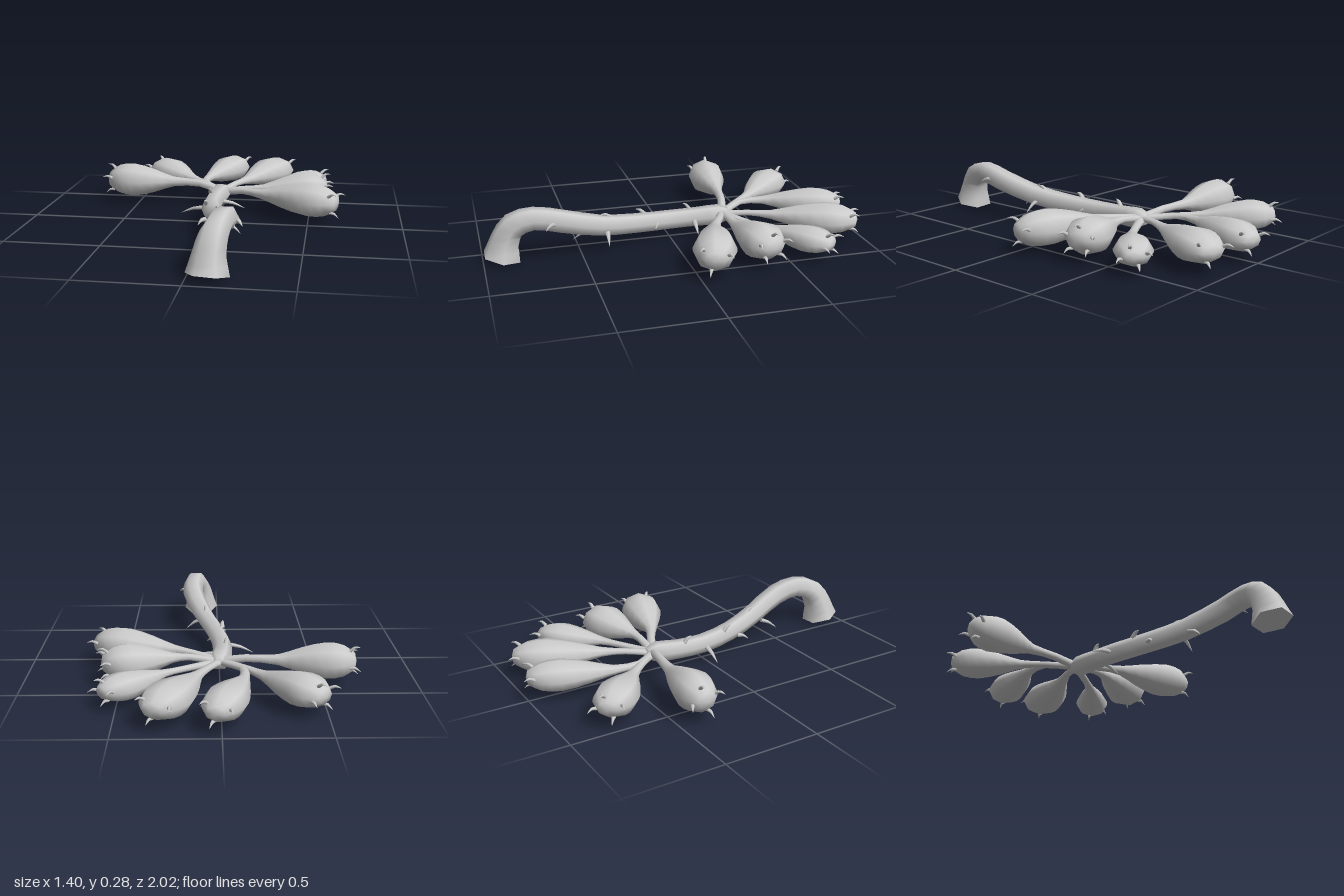
import * as THREE from 'three';

const material = new THREE.MeshStandardMaterial({ color: 0xcccccc, side: THREE.DoubleSide });
const V = (p) => new THREE.Vector3(p[0], p[1], p[2]);

// Sweeps a ring of changing radius along points [x, y, z, radius].
function sweep(points, { sides = 8, steps = 2, ref = [0, 1, 0], phase = 0, flat = 1 } = {}) {
  const path = new THREE.CatmullRomCurve3(points.map(V));
  const radii = new THREE.CatmullRomCurve3(points.map((p) => new THREE.Vector3(p[3], 0, 0)), false, 'catmullrom', 0.5);
  const rings = (points.length - 1) * steps;
  const pos = [], index = [];
  const side = new THREE.Vector3(), up = new THREE.Vector3(), p = new THREE.Vector3();
  const addRing = (t) => {
    const c = path.getPoint(t), T = path.getTangent(t), r = Math.max(radii.getPoint(t).x, 0.0005);
    side.crossVectors(V(ref), T).normalize();
    up.crossVectors(T, side);
    for (let j = 0; j < sides; j++) {
      const a = phase + (j / sides) * Math.PI * 2;
      p.copy(c).addScaledVector(side, Math.cos(a) * r).addScaledVector(up, Math.sin(a) * r * flat);
      pos.push(p.x, p.y, p.z);
    }
    return { c, T, r };
  };
  let end;
  for (let i = 0; i <= rings; i++) end = addRing(i / rings);
  for (let i = 0; i < rings; i++) {
    for (let j = 0; j < sides; j++) {
      const k = (j + 1) % sides, a = i * sides, b = a + sides;
      index.push(a + j, a + k, b + k, a + j, b + k, b + j);
    }
  }
  // Rounded far end
  const tip = pos.length / 3, last = rings * sides;
  end.c.addScaledVector(end.T, end.r * 0.2);
  pos.push(end.c.x, end.c.y, end.c.z);
  for (let j = 0; j < sides; j++) index.push(last + j, last + ((j + 1) % sides), tip);
  // Flat near end with its own sharp edge
  const first = pos.length / 3;
  const start = addRing(0);
  pos.push(start.c.x, start.c.y, start.c.z);
  for (let j = 0; j < sides; j++) index.push(first + ((j + 1) % sides), first + j, first + sides);

  const geo = new THREE.BufferGeometry();
  geo.setAttribute('position', new THREE.Float32BufferAttribute(pos, 3));
  geo.setIndex(index);
  geo.computeVertexNormals();
  return geo;
}

function add(parent, name, geo) {
  const mesh = new THREE.Mesh(geo, material);
  mesh.name = name;
  parent.add(mesh);
}

// A small claw from a to b, arched upwards.
function thorn(a, b, r) {
  const mid = a.clone().lerp(b, 0.5);
  mid.y += 0.01;
  return sweep([[...a, r], [...mid, r * 0.7], [...b, 0.001]], { sides: 5, flat: 0.75 });
}

// Pod swelling from neck to tip: [fraction of length, fraction of full radius]
const POD = [[0, 0.3], [0.3, 0.7], [0.62, 1], [0.85, 0.87], [1, 0.45]];

// Stalk bend, pod neck and pod tip are [x, z]
function bulb(bend, neck, tip, y, radius, flat, thorns) {
  const group = new THREE.Group();
  group.name = 'bulb';
  const a = new THREE.Vector3(neck[0], y, neck[1]), b = new THREE.Vector3(tip[0], y, tip[1]);
  const pod = POD.map(([t, r]) => [...a.clone().lerp(b, t), r * radius]);
  add(group, 'stalkAndPod', sweep([[0, 0.075, -0.3, 0.027], [bend[0], y, bend[1], 0.022], ...pod], { flat }));
  // Thorns ring the pod behind its tip and lean outwards
  const T = b.clone().sub(a).normalize();
  const side = new THREE.Vector3(0, 1, 0).cross(T);
  for (let i = 0; i < thorns; i++) {
    const q = 0.3 + (i / thorns) * Math.PI * 2;
    const out = side.clone().multiplyScalar(Math.cos(q));
    out.y = Math.sin(q) * flat;
    const base = a.clone().lerp(b, 0.93).addScaledVector(out, radius * 0.63);
    const point = base.clone().addScaledVector(T, 0.05).addScaledVector(out, 0.025);
    point.y = Math.max(point.y, 0.01);
    add(group, 'tipThorn', thorn(base, point, 0.012));
  }
  return group;
}

export function createModel() {
  const model = new THREE.Group();
  model.name = 'branch';

  // Arched stem with a flared hexagonal foot
  add(model, 'stem', sweep([
    [0.1, 0, 0.905, 0.102], [0.105, 0.09, 0.885, 0.078], [0.12, 0.17, 0.84, 0.068], [0.14, 0.205, 0.74, 0.06],
    [0.145, 0.178, 0.6, 0.06], [0.09, 0.115, 0.4, 0.056], [0.025, 0.08, 0.2, 0.053], [-0.015, 0.066, 0, 0.052],
    [-0.015, 0.068, -0.16, 0.052], [0, 0.075, -0.28, 0.055], [0, 0.078, -0.335, 0.03],
  ], { sides: 6, ref: [1, 0, 0], phase: Math.PI / 6 }));

  // Thorns along the stem, from base to tip
  const stemThorn = (base, tip) => add(model, 'stemThorn', thorn(V(base), V(tip), 0.016));
  stemThorn([-0.05, 0.06, 0], [-0.185, 0.02, -0.015]);
  stemThorn([0.02, 0.06, -0.135], [0.15, 0.03, -0.12]);
  stemThorn([-0.035, 0.1, -0.13], [-0.045, 0.14, -0.09]);
  stemThorn([0.02, 0.07, 0.06], [0.065, 0.05, 0.09]);
  stemThorn([-0.02, 0.11, 0.13], [-0.025, 0.14, 0.18]);
  stemThorn([-0.015, 0.06, 0.23], [-0.045, 0.04, 0.28]);
  stemThorn([0.065, 0.14, 0.33], [0.075, 0.165, 0.39]);
  stemThorn([0.1, 0.09, 0.36], [0.185, 0.03, 0.365]);
  stemThorn([0.06, 0.08, 0.44], [0.03, 0.025, 0.53]);
  stemThorn([0.19, 0.185, 0.64], [0.23, 0.165, 0.69]);

  // Fan of bulbs at the stem's end
  model.add(
    bulb([-0.13, -0.34], [-0.29, -0.365], [-0.675, -0.39], 0.108, 0.102, 0.95, 4),
    bulb([-0.12, -0.43], [-0.21, -0.53], [-0.475, -0.8], 0.09, 0.108, 0.75, 4),
    bulb([-0.115, -0.44], [-0.11, -0.58], [0.03, -0.985], 0.09, 0.105, 0.73, 3),
    bulb([0.06, -0.43], [0.12, -0.54], [0.31, -0.95], 0.09, 0.12, 0.67, 3),
    bulb([0.18, -0.4], [0.28, -0.46], [0.56, -0.7], 0.075, 0.095, 0.7, 4),
    bulb([0.15, -0.295], [0.24, -0.3], [0.585, -0.38], 0.098, 0.115, 0.8, 5),
    bulb([0.13, -0.24], [0.24, -0.18], [0.65, -0.05], 0.097, 0.11, 0.85, 3),
  );
  return model;
}
